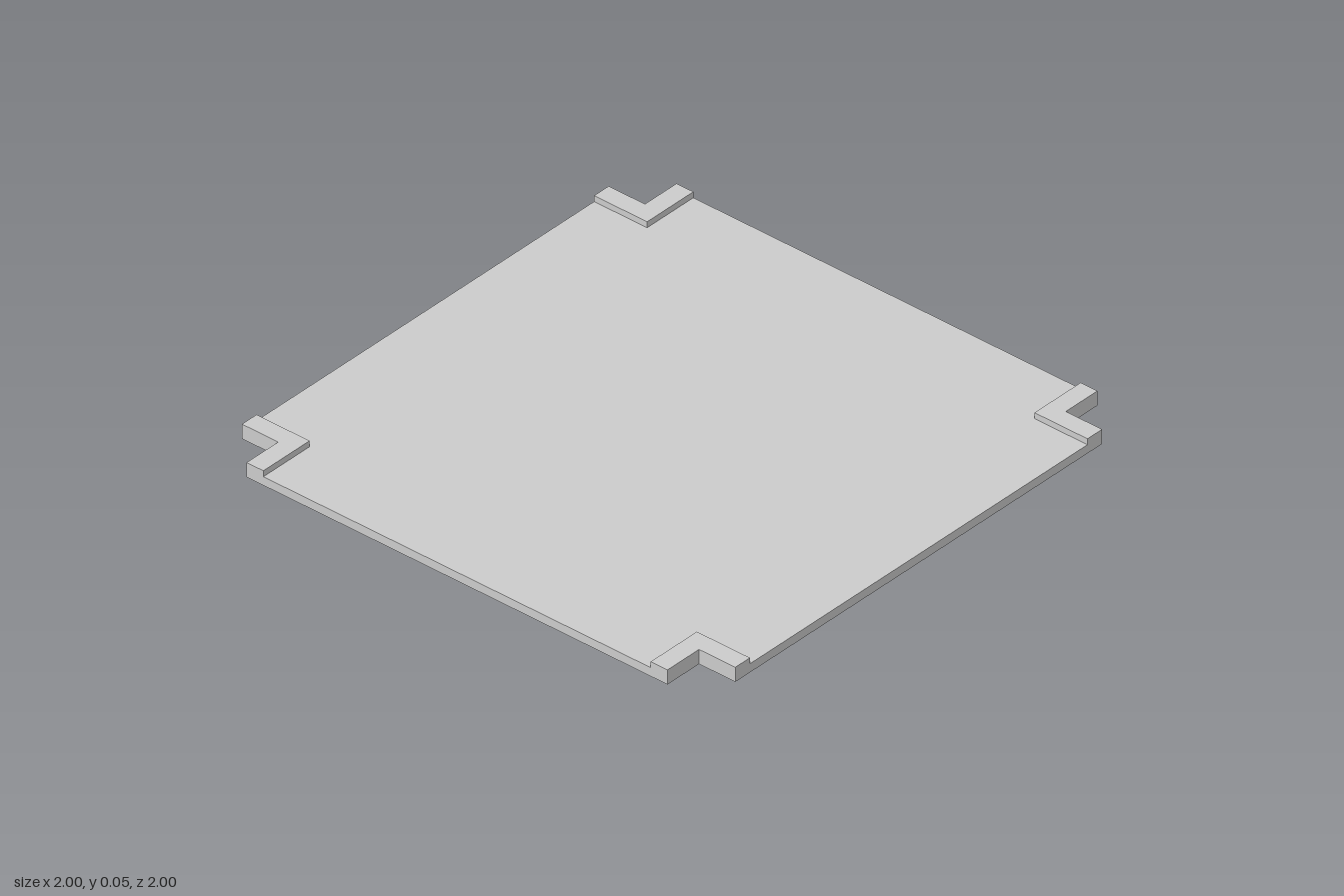
import * as THREE from 'three';

const HALF = 1;        // half width of the panel
const NOTCH = 0.853;   // inner corner of each square cut-out
const LIP = 0.785;     // inner corner of each raised lip
const PANEL_H = 0.032;
const TOTAL_H = 0.054;

const material = new THREE.MeshStandardMaterial({ color: 0xcccccc, flatShading: true });

// Extrudes a plan outline upwards from height y
function slab(name, points, y, height) {
  const shape = new THREE.Shape(points.map(([x, z]) => new THREE.Vector2(x, z)));
  const geometry = new THREE.ExtrudeGeometry(shape, { depth: height, bevelEnabled: false });
  geometry.rotateX(-Math.PI / 2).translate(0, y, 0);
  const mesh = new THREE.Mesh(geometry, material);
  mesh.name = name;
  return mesh;
}

export function createModel() {
  const group = new THREE.Group();
  group.name = 'notchedPanel';

  // Flat panel with a square notch at each corner
  const outline = [];
  for (const [sx, sz] of [[1, 1], [-1, 1], [-1, -1], [1, -1]]) {
    const corner = [[sx * HALF, sz * NOTCH], [sx * NOTCH, sz * NOTCH], [sx * NOTCH, sz * HALF]];
    outline.push(...(sx * sz > 0 ? corner : corner.reverse()));
  }
  group.add(slab('panel', outline, 0, PANEL_H));

  // Raised L-shaped lip around each notch
  const lip = [[LIP, LIP], [HALF, LIP], [HALF, NOTCH], [NOTCH, NOTCH], [NOTCH, HALF], [LIP, HALF]];
  ['backLeft', 'backRight', 'frontRight', 'frontLeft'].forEach((place, i) => {
    const mesh = slab(place + 'CornerLip', lip, PANEL_H, TOTAL_H - PANEL_H);
    mesh.rotation.y = i * Math.PI / 2;
    group.add(mesh);
  });

  return group;
}
